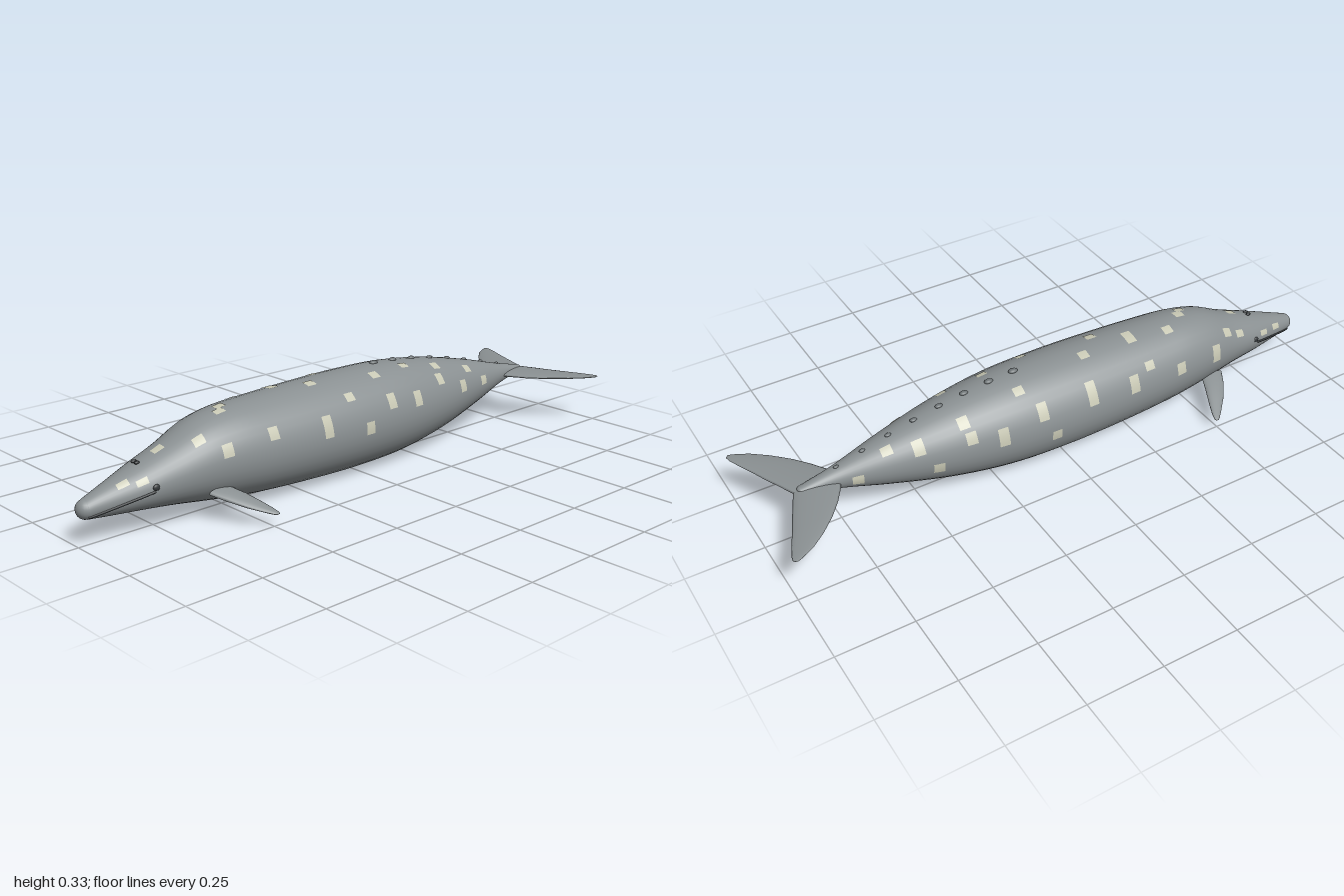
import * as THREE from 'three';

const SKIN = new THREE.MeshStandardMaterial({ color: 0x8a9092 });
const PALE = new THREE.MeshStandardMaterial({ color: 0xc8c8b4 });
const DARK = new THREE.MeshStandardMaterial({ color: 0x34383a });
const KNOB = new THREE.MeshStandardMaterial({ color: 0x6c7274 });

// Body outline: z, top y, bottom y, half width
const OUTLINE = [
  [0.975, 0.14, 0.08, 0.03], [0.9, 0.168, 0.073, 0.05], [0.8, 0.205, 0.065, 0.078],
  [0.7, 0.243, 0.054, 0.097], [0.6, 0.288, 0.04, 0.121], [0.5, 0.309, 0.027, 0.138],
  [0.4, 0.315, 0.017, 0.149], [0.2, 0.322, 0.006, 0.16], [0, 0.325, 0.002, 0.163],
  [-0.2, 0.319, 0.01, 0.154], [-0.4, 0.292, 0.04, 0.124], [-0.6, 0.247, 0.089, 0.076],
  [-0.75, 0.206, 0.132, 0.036], [-0.865, 0.18, 0.156, 0.016],
];

// Smooth (cubic Hermite) reading of the outline at any z
function section(z) {
  const P = OUTLINE, last = P.length - 1;
  let i = 0;
  while (i < last - 1 && z < P[i + 1][0]) i++;
  const w = P[i + 1][0] - P[i][0];
  const t = THREE.MathUtils.clamp((z - P[i][0]) / w, 0, 1);
  const slope = (k, c) => {
    const a = P[Math.max(k - 1, 0)], b = P[Math.min(k + 1, last)];
    return (b[c] - a[c]) / (b[0] - a[0]);
  };
  const read = (c) => {
    const a = P[i][c], b = P[i + 1][c], t2 = t * t, t3 = t2 * t;
    return a * (2 * t3 - 3 * t2 + 1) + b * (3 * t2 - 2 * t3)
      + w * (slope(i, c) * (t3 - 2 * t2 + t) + slope(i + 1, c) * (t3 - t2));
  };
  const top = read(1), bottom = read(2);
  return { mid: (top + bottom) / 2, h: (top - bottom) / 2, w: read(3) };
}

// Point on the skin; angle 0 is the back, positive angles turn to +x
function skin(z, angle, lift = 0) {
  const s = section(z);
  return [(s.w + lift) * Math.sin(angle), s.mid + (s.h + lift) * Math.cos(angle), z];
}

// Surface from rows of points, optionally closed around each row
function surface(point, rows, cols, closed) {
  const pos = [], index = [], n = closed ? cols : cols + 1;
  for (let i = 0; i <= rows; i++) for (let j = 0; j < n; j++) pos.push(...point(i / rows, j / cols));
  for (let i = 0; i < rows; i++) for (let j = 0; j < cols; j++) {
    const a = i * n + j, b = i * n + (j + 1) % n;
    index.push(a, b, a + n, b, b + n, a + n);
  }
  const g = new THREE.BufferGeometry();
  g.setAttribute('position', new THREE.Float32BufferAttribute(pos, 3));
  g.setIndex(index);
  g.computeVertexNormals();
  return g;
}

// Lens-shaped fin lofted along x; sections are x, leading z, trailing z, y, half thickness
function finGeometry(sections, side) {
  const rows = sections.length - 1;
  return surface((u, v) => {
    const [x, lead, trail, y, thick] = sections[Math.round(u * rows)];
    const a = v * Math.PI * 2;
    return [side * x, y - side * thick * Math.sin(a), (lead + trail) / 2 + (lead - trail) / 2 * Math.cos(a)];
  }, rows, 16, true);
}

const FLUKE = [
  [0, -0.735, -0.89, 0.166, 0.011], [0.05, -0.758, -0.912, 0.166, 0.01],
  [0.1, -0.79, -0.935, 0.165, 0.009], [0.15, -0.83, -0.956, 0.165, 0.008],
  [0.2, -0.88, -0.979, 0.165, 0.006], [0.24, -0.93, -0.996, 0.165, 0.004],
  [0.26, -0.968, -1, 0.165, 0.003], [0.268, -0.987, -0.992, 0.165, 0.001],
];
const FLIPPER = [
  [0.105, 0.622, 0.54, 0.092, 0.012], [0.15, 0.598, 0.522, 0.08, 0.012],
  [0.2, 0.56, 0.501, 0.062, 0.009], [0.235, 0.526, 0.488, 0.049, 0.006],
  [0.255, 0.505, 0.484, 0.042, 0.004], [0.262, 0.496, 0.489, 0.04, 0.001],
];

// Pale patches: z, angle, arc width
const PATCHES = [
  [0.9, -1.1, 0.02], [0.83, -1.2, 0.02], [0.71, -0.95, 0.025], [0.65, -0.85, 0.03], [0.58, -1.35, 0.06],
  [0.42, -1.3, 0.04], [0.3, -0.95, 0.03], [0.23, -1.2, 0.06], [0.07, -1.05, 0.08],
  [-0.11, -1.05, 0.06], [-0.07, -1.65, 0.035], [-0.25, -1.3, 0.06], [-0.36, -0.7, 0.04],
  [-0.35, -1.1, 0.04], [-0.46, -1.7, 0.035], [-0.51, -0.9, 0.05], [-0.6, -0.6, 0.03], [-0.7, -1.6, 0.03],
  [0.87, 0.7, 0.02], [0.82, 1, 0.02], [0.73, 0.1, 0.025], [0.63, 0.7, 0.03], [0.52, 0.2, 0.025],
  [0.5, 0, 0.03], [0.42, -0.35, 0.03], [0.28, -0.2, 0.05], [0.17, 0.2, 0.03], [0.1, -0.25, 0.03],
  [0.08, 0.8, 0.03], [-0.07, 0.45, 0.03], [-0.16, -0.5, 0.03], [-0.22, 0.35, 0.025], [-0.36, 0.5, 0.03],
  [0.56, 1.2, 0.04], [0.4, 1.1, 0.04], [0.2, 1.25, 0.07], [-0.08, 1.1, 0.05],
  [0.03, 1.5, 0.04], [-0.2, 1.2, 0.05], [-0.34, 0.9, 0.04], [-0.46, 1.25, 0.04], [-0.52, 0.7, 0.03], [-0.6, 1.3, 0.03],
];

function patchGeometry([z, angle, arc]) {
  const s = section(z), spread = arc / ((s.w + s.h) / 2);
  return surface((u, v) => skin(z + 0.017 - u * 0.034, angle + (v - 0.5) * spread, 0.0014), 3, 5, false);
}

export function createModel() {
  const model = new THREE.Group();
  const add = (name, geometry, material, parent = model) => {
    const mesh = new THREE.Mesh(geometry, material);
    mesh.name = name;
    parent.add(mesh);
    return mesh;
  };
  const ball = (name, material, at, size, parent = model) => {
    const mesh = add(name, new THREE.SphereGeometry(1, 20, 14), material, parent);
    mesh.position.set(...at);
    mesh.scale.set(...size);
    return mesh;
  };

  // Body with rounded snout and tail stock
  add('body', surface((u, v) => skin(0.975 - u * 1.84, v * Math.PI * 2), 64, 36, true), SKIN);
  ball('snout', SKIN, [0, 0.11, 0.97], [0.03, 0.03, 0.03]);
  ball('tailEnd', SKIN, [0, 0.168, -0.865], [0.016, 0.012, 0.012]);

  for (const side of [1, -1]) {
    const label = side > 0 ? 'left' : 'right';
    add(label + 'Fluke', finGeometry(FLUKE, side), SKIN);
    add(label + 'Flipper', finGeometry(FLIPPER, side), SKIN);

    // Mouth line follows the skin from snout to eye
    const line = [];
    for (let i = 0; i <= 6; i++) {
      const z = 0.975 - i * 0.031, y = 0.091 + i * 0.0075, s = section(z);
      const x = s.w * Math.sqrt(Math.max(0, 1 - ((y - s.mid) / s.h) ** 2));
      line.push(new THREE.Vector3(side * x, y, z));
    }
    add(label + 'Mouth', new THREE.TubeGeometry(new THREE.CatmullRomCurve3(line), 24, 0.004, 8), DARK);
    ball(label + 'Eye', DARK, [side * 0.078, 0.147, 0.784], [0.006, 0.01, 0.012]);
    ball(label + 'Blowhole', DARK, [side * 0.008, section(0.8).mid + section(0.8).h + 0.002, 0.8], [0.006, 0.005, 0.009]);
  }

  // Row of knuckles along the rear back, shrinking to the tail
  const knuckles = new THREE.Group();
  knuckles.name = 'backKnuckles';
  model.add(knuckles);
  for (let i = 0; i < 8; i++) {
    const z = -0.135 - i * 0.0875, k = 1 - i * 0.06;
    ball('knuckle', KNOB, skin(z, 0), [0.011 * k, 0.008 * k, 0.016 * k], knuckles);
  }

  // Pale skin patches
  const patches = new THREE.Group();
  patches.name = 'skinPatches';
  model.add(patches);
  for (const p of PATCHES) add('skinPatch', patchGeometry(p), PALE, patches);

  return model;
}
